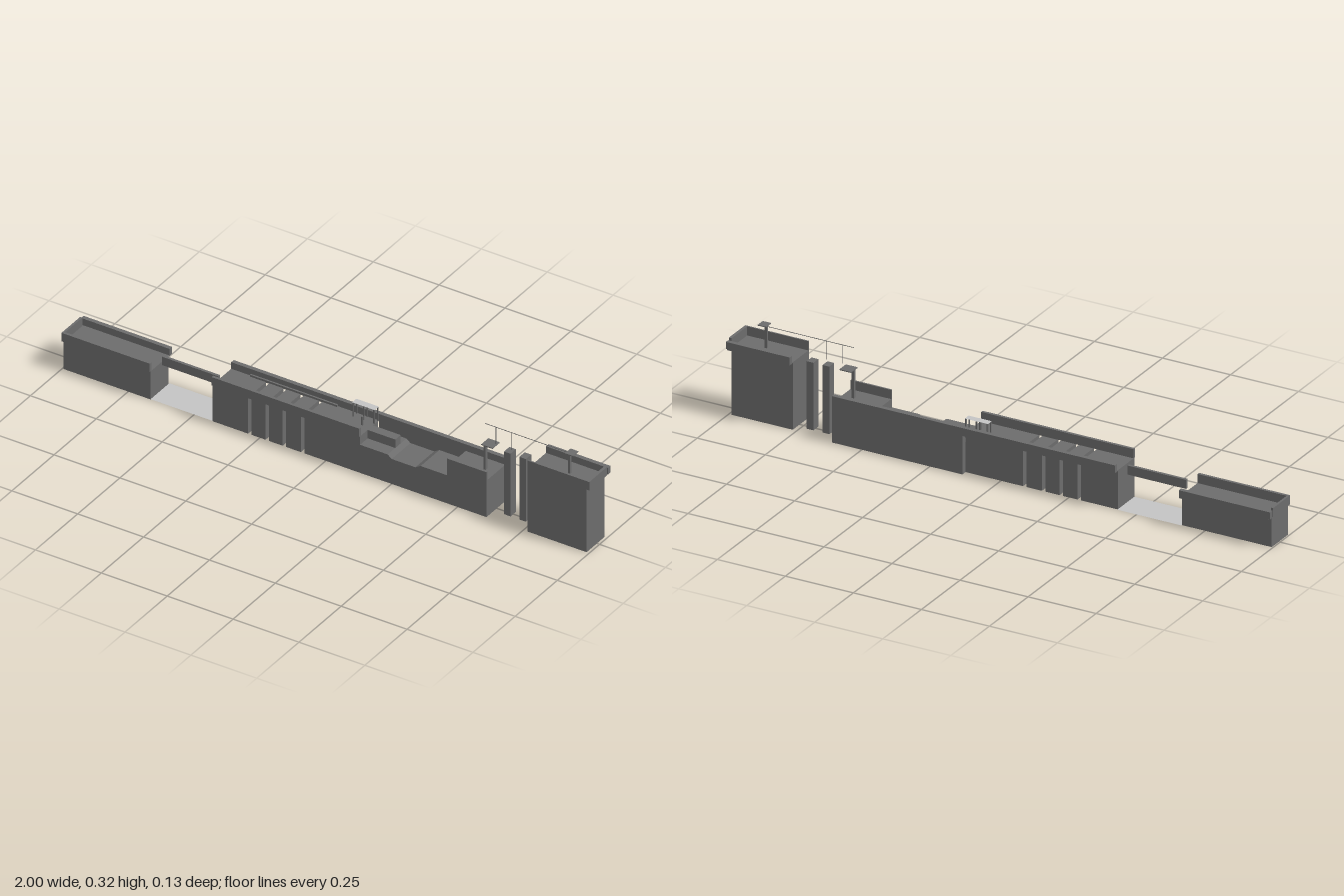
import * as THREE from 'three';

export function createModel() {
  const model = new THREE.Group();
  const concrete = new THREE.MeshStandardMaterial({ color: 0x6c6c6c });
  concrete.name = 'concreteGrey';
  const pale = new THREE.MeshStandardMaterial({ color: 0xc4c4c4, side: THREE.DoubleSide });
  pale.name = 'paleGrey';

  // Box given by its limits on each axis
  function box(name, x0, x1, y0, y1, z0, z1, material = concrete) {
    const mesh = new THREE.Mesh(new THREE.BoxGeometry(x1 - x0, y1 - y0, z1 - z0), material);
    mesh.position.set((x0 + x1) / 2, (y0 + y1) / 2, (z0 + z1) / 2);
    mesh.name = name;
    model.add(mesh);
    return mesh;
  }
  // Flat horizontal sheet
  function sheet(name, x0, x1, z0, z1, y) {
    const mesh = new THREE.Mesh(new THREE.PlaneGeometry(x1 - x0, z1 - z0), pale);
    mesh.rotation.x = -Math.PI / 2;
    mesh.position.set((x0 + x1) / 2, y, (z0 + z1) / 2);
    mesh.name = name;
    model.add(mesh);
  }

  const FRONT = 0.061, BACK = -0.045, BAND = -0.065, LIP = 0.066;

  // Low end block with parapets on three sides
  box('lowBlock', -0.995, -0.665, 0, 0.107, BACK, FRONT);
  box('lowFrontParapet', -1, -0.665, 0.107, 0.139, 0.056, LIP);
  box('lowEndParapet', -1, -0.992, 0.107, 0.139, BACK, 0.056);
  box('lowBackBand', -1, -0.665, 0.107, 0.132, BAND, -0.05);
  box('lowBackFloor', -0.995, -0.665, 0.104, 0.107, BAND, BACK);

  // Open channel with a raised gate beam
  sheet('channelFloor', -0.665, -0.43, -0.05, FRONT, 0.001);
  box('gateBeam', -0.655, -0.44, 0.107, 0.139, 0, 0.01);

  // Sluice section: piers split by narrow slots
  const slots = [-0.288, -0.222, -0.157, -0.088];
  const half = 0.0065;
  let start = -0.43;
  for (const slot of [...slots, 0.13 + half]) {
    box('pier', start, slot - half, 0, 0.139, BACK, FRONT);
    start = slot + half;
  }
  box('sluiceFrontParapet', -0.43, 0.13, 0.139, 0.171, 0.056, LIP);
  box('sluiceBackBand', -0.43, 0.13, 0.139, 0.164, BAND, -0.05);
  box('sluiceBackLedge', -0.43, 0.13, 0.136, 0.139, BAND, BACK);
  box('craneRail', -0.35, -0.02, 0.145, 0.152, -0.042, -0.036);

  // Small shelter on the deck
  sheet('shelterRoof', 0.045, 0.13, -0.05, -0.025, 0.192);
  for (const x of [0.048, 0.088, 0.127])
    for (const z of [-0.048, -0.027])
      box('shelterPost', x - 0.002, x + 0.002, 0.139, 0.191, z - 0.002, z + 0.002);
  box('deckPost', 0.097, 0.103, 0.139, 0.171, -0.003, 0.003);

  // Spillway with a dipped crest
  const crest = new THREE.Shape([
    [0.13, 0], [0.46, 0], [0.46, 0.107], [0.36, 0.107],
    [0.34, 0.095], [0.25, 0.095], [0.235, 0.107], [0.13, 0.107],
  ].map(([x, y]) => new THREE.Vector2(x, y)));
  const spillway = new THREE.Mesh(
    new THREE.ExtrudeGeometry(crest, { depth: FRONT + 0.05, bevelEnabled: false }), concrete);
  spillway.position.z = -0.05;
  spillway.name = 'spillway';
  model.add(spillway);
  box('spillwayBackWall', 0.13, 0.46, 0, 0.164, BAND, -0.05);
  box('spillwayBlock', 0.13, 0.235, 0.107, 0.139, -0.016, 0.016);

  // Abutment beside the spillway
  box('abutment', 0.46, 0.61, 0, 0.139, BAND, FRONT);
  box('abutmentFrontParapet', 0.46, 0.61, 0.139, 0.171, 0.055, FRONT);
  box('abutmentBackBand', 0.46, 0.61, 0.139, 0.164, BAND, -0.05);

  // Freestanding pillars
  for (const x of [0.66, 0.718])
    box('pillar', x - 0.0125, x + 0.0125, 0, 0.239, -0.016, 0.016);

  // Tall end block with parapets
  box('tallBlock', 0.765, 0.99, 0, 0.239, BACK, FRONT);
  box('tallFrontParapet', 0.765, 0.99, 0.239, 0.271, 0.056, FRONT);
  box('tallEndParapet', 0.99, 1, 0.239, 0.271, BACK, FRONT);
  box('tallBackBand', 0.765, 1, 0.239, 0.264, BAND, -0.05);
  box('tallBackLedge', 0.765, 0.995, 0.236, 0.239, BAND, BACK);

  // Masts with flat caps
  box('lowMast', 0.565, 0.574, 0.139, 0.239, 0, 0.01);
  box('lowMastCap', 0.565, 0.608, 0.238, 0.241, -0.02, 0.022);
  box('tallMast', 0.888, 0.896, 0.239, 0.32, 0.004, 0.012);
  box('tallMastCap', 0.885, 0.915, 0.318, 0.321, -0.008, 0.025);

  // Overhead cable and hangers
  box('cable', 0.57, 0.89, 0.314, 0.3155, 0.007, 0.0085);
  for (const x of [0.612, 0.672])
    box('cableHanger', x - 0.0008, x + 0.0008, 0.25, 0.314, 0.007, 0.0085);

  return model;
}
